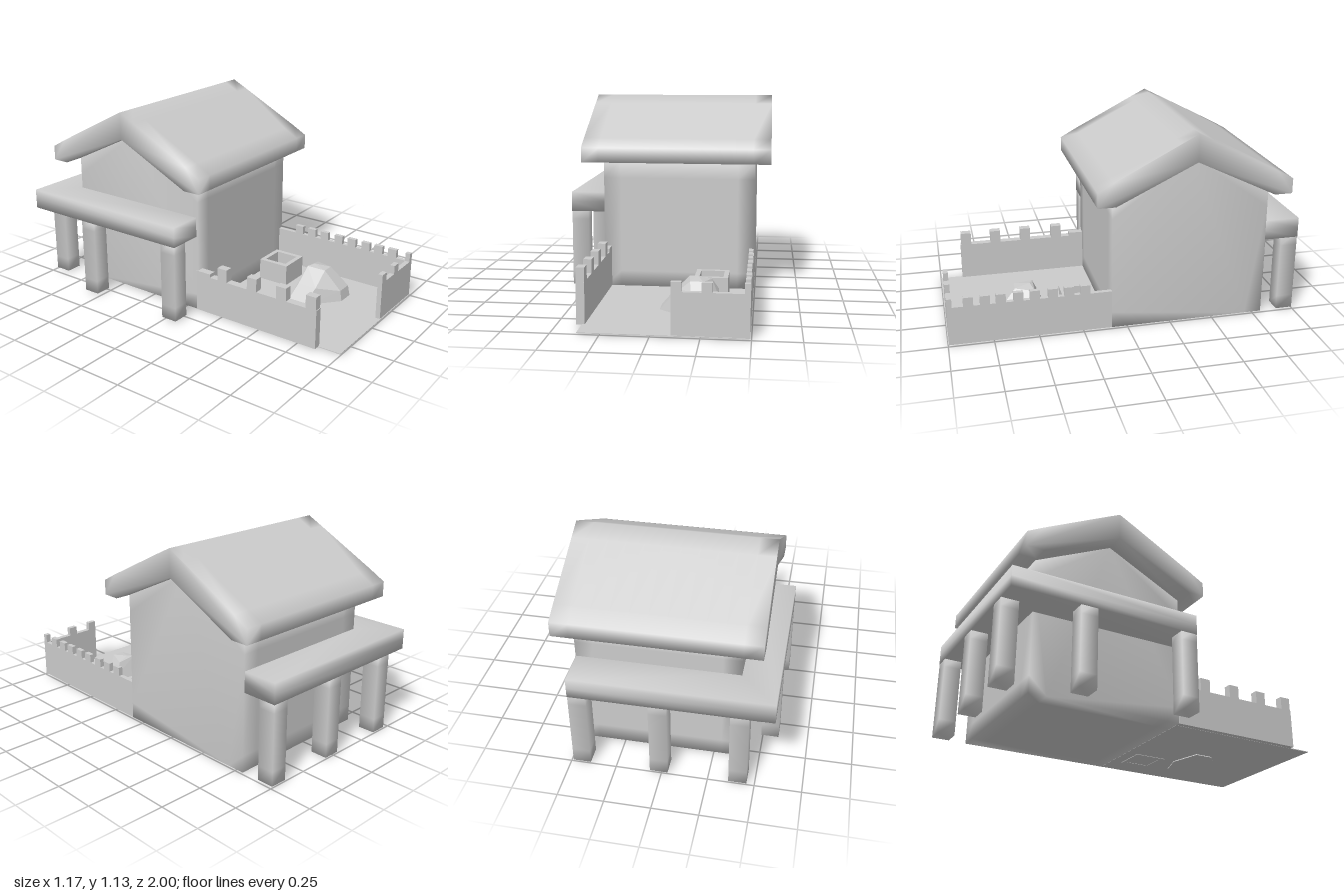
import * as THREE from 'three';
import { mergeVertices } from 'three/addons/utils/BufferGeometryUtils.js';
import { ConvexGeometry } from 'three/addons/geometries/ConvexGeometry.js';

const BASE = 0.007;
const grey = new THREE.MeshStandardMaterial({ color: 0xcccccc });
const faceted = new THREE.MeshStandardMaterial({ color: 0xcccccc, flatShading: true });

// Share vertices so that edges shade softly
function soften(geometry) {
  geometry.deleteAttribute('normal');
  geometry.deleteAttribute('uv');
  const merged = mergeVertices(geometry, 1e-4);
  merged.computeVertexNormals();
  return merged;
}

function extrude(points, depth, steps = 1, hole) {
  const shape = new THREE.Shape(points.map(([x, y]) => new THREE.Vector2(x, y)));
  if (hole) shape.holes.push(new THREE.Path(hole.map(([x, y]) => new THREE.Vector2(x, y))));
  return new THREE.ExtrudeGeometry(shape, { depth, steps, bevelEnabled: false });
}

// Profile in (z, y), swept along x from x0 to x1
const alongX = (points, x0, x1, steps) =>
  extrude(points, x1 - x0, steps).rotateY(-Math.PI / 2).translate(x1, 0, 0);

// Plan in (x, -z), raised from y0 to y1
const upward = (points, y0, y1, steps, hole) =>
  extrude(points, y1 - y0, steps, hole).rotateX(-Math.PI / 2).translate(0, y0, 0);

const rect = (x0, x1, z0, z1) => [[x0, -z1], [x1, -z1], [x1, -z0], [x0, -z0]];

// Wall outline with square merlons [start, end, top]
function battlement(from, to, height, merlons) {
  const top = merlons.flatMap(([a, b, y]) => [[a, height], [a, y], [b, y], [b, height]]);
  return [[from, BASE], [from, height], ...top, [to, height], [to, BASE]]
    .filter((p, i, all) => i === 0 || p[0] !== all[i - 1][0] || p[1] !== all[i - 1][1]);
}

export function createModel() {
  const group = new THREE.Group();
  const add = (name, geometry, material = grey) => {
    const mesh = new THREE.Mesh(geometry, material);
    mesh.name = name;
    group.add(mesh);
    return mesh;
  };

  // House body with gable ends
  add('houseBody', soften(alongX([
    [-0.8, BASE], [-0.7, BASE], [0, BASE], [0.09, BASE], [0.09, 0.1], [0.09, 0.66], [0.09, 0.76],
    [-0.355, 0.975], [-0.8, 0.76], [-0.8, 0.66], [-0.8, 0.1],
  ], -0.392, 0.495, 9)));

  // Thick gabled roof slab
  add('roof', soften(alongX([
    [0.19, 0.76], [0.19, 0.845], [0.1, 0.895], [-0.26, 1.082], [-0.355, 1.13], [-0.45, 1.082],
    [-0.81, 0.895], [-0.9, 0.845], [-0.9, 0.76], [-0.8, 0.76], [-0.355, 0.975], [0.09, 0.76],
  ], -0.507, 0.585, 11)));

  // L-shaped porch canopy around the back and right side
  add('porchCanopy', soften(upward([
    [-0.59, -0.08], [-0.385, -0.08], [-0.385, 0.79], [0.49, 0.79], [0.49, 1], [-0.59, 1],
  ], 0.455, 0.57, 2)));

  // Porch posts
  const posts = [[0.44, -0.95], [0.015, -0.95], [-0.41, -0.95], [-0.54, -0.57], [-0.54, 0.03]];
  for (const [x, z] of posts) {
    const post = add('porchPost', soften(new THREE.BoxGeometry(0.097, 0.48, 0.097, 1, 6, 1)));
    post.position.set(x, 0.247, z);
  }

  // Courtyard floor
  add('courtyardFloor', new THREE.BoxGeometry(0.855, 0.004, 0.92)).position.set(0.063, 0.008, 0.54);

  // Battlemented courtyard walls
  const leftMerlons = [0.24, 0.33, 0.42, 0.52, 0.61, 0.705, 0.79, 0.88].map((z) => [z - 0.027, z + 0.027, 0.28]);
  add('leftCourtyardWall', alongX(
    battlement(0.08, 0.995, 0.23, [...leftMerlons, [0.973, 0.995, 0.28]]), 0.468, 0.494));
  const rightMerlons = [0.26, 0.458, 0.647, 0.83].map((z) => [z - 0.031, z + 0.031, 0.305]);
  add('rightCourtyardWall', alongX(
    battlement(0.08, 0.865, 0.23, [[0.08, 0.175, 0.25], ...rightMerlons]), -0.395, -0.35));
  add('frontCourtyardWall', extrude(
    battlement(0.105, 0.494, 0.23, [[0.105, 0.157, 0.28], [0.257, 0.31, 0.28], [0.465, 0.494, 0.28]]),
    0.028).translate(0, 0, 0.967));

  // Square open trough beside the house
  add('troughRim', upward(rect(0.165, 0.355, 0.145, 0.335), 0.003, 0.135, 1, rect(0.192, 0.328, 0.172, 0.308)));
  add('troughBottom', new THREE.BoxGeometry(0.15, 0.06, 0.15)).position.set(0.26, 0.035, 0.24);

  // Faceted boulder
  const rockPoints = [
    [-0.012, 0, 0.45], [0.17, 0, 0.405], [0.32, 0, 0.455], [0.32, 0, 0.555], [0.275, 0, 0.715],
    [0.175, 0, 0.715], [-0.012, 0, 0.555], [0.07, 0.1, 0.595], [0.07, 0.1, 0.48], [0.31, 0.11, 0.46],
    [0.315, 0.09, 0.55], [0.155, 0.185, 0.49], [0.2, 0.19, 0.51], [0.275, 0.17, 0.49],
    [0.235, 0.18, 0.6], [0.165, 0.18, 0.6], [0.275, 0.07, 0.7], [0.18, 0.07, 0.7],
  ].map((p) => new THREE.Vector3(...p));
  add('boulder', new ConvexGeometry(rockPoints), faceted);

  return group;
}
